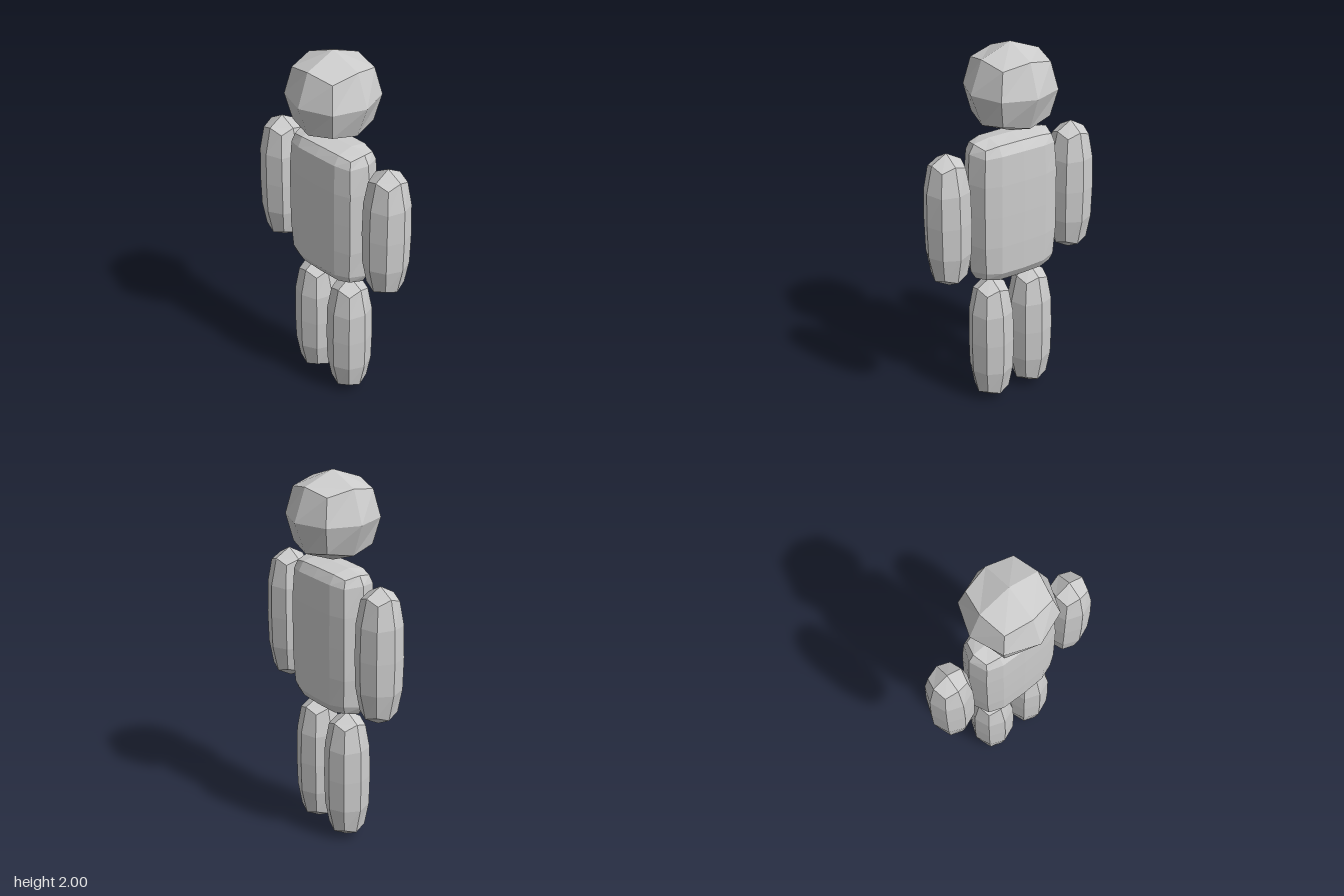
import * as THREE from 'three';

// Rounded block, symmetric in x, y and z. `cap` is the top ridge (z = 0) from the centre outwards;
// each level is a quarter ring from the front centre to the side end, listed from top to middle.
function block(cap, levels) {
  const pos = [];
  const tri = (a, b, c) => pos.push(...a, ...b, ...c);
  const quad = (a, b, c, d) => { tri(a, b, c); tri(a, c, d); };
  const flip = (p, sx, sy, sz) => [p[0] * sx, p[1] * sy, p[2] * sz];

  const ring = (q, sy) => {
    const n = q.length - 1;
    const front = [];
    for (let i = n - 1; i > 0; i--) front.push(flip(q[i], -1, sy, 1));
    for (let i = 0; i < n; i++) front.push(flip(q[i], 1, sy, 1));
    const back = front.map((p) => flip(p, 1, 1, -1)).reverse();
    return [...front, flip(q[n], 1, sy, 1), ...back, flip(q[n], -1, sy, 1)];
  };

  // sides, from top to bottom
  const half = levels.length;
  const rings = levels.map((q) => ring(q, 1));
  for (let i = half - 2; i >= 0; i--) rings.push(ring(levels[i], -1));
  for (let r = 0; r < rings.length - 1; r++) {
    const a = rings[r], b = rings[r + 1];
    for (let i = 0; i < a.length; i++) {
      const j = (i + 1) % a.length;
      quad(b[i], b[j], a[j], a[i]);
    }
  }

  // top and bottom caps
  for (const sy of [1, -1]) {
    const rim = ring(levels[0], sy);
    const cols = rim.length / 2 - 1;
    const mid = [rim[rim.length - 1]];
    for (let i = cap.length - 1; i > 0; i--) mid.push([-cap[i][0], cap[i][1] * sy, 0]);
    for (const [x, y] of cap) mid.push([x, y * sy, 0]);
    mid.push(rim[cols]);
    for (let i = 0; i < cols - 1; i++) {
      const f0 = rim[i], f1 = rim[i + 1];
      const b0 = flip(f0, 1, 1, -1), b1 = flip(f1, 1, 1, -1);
      if (sy > 0) {
        quad(f0, f1, mid[i + 1], mid[i]);
        quad(mid[i], mid[i + 1], b1, b0);
      } else {
        quad(mid[i], mid[i + 1], f1, f0);
        quad(b0, b1, mid[i + 1], mid[i]);
      }
    }
  }

  const geo = new THREE.BufferGeometry();
  geo.setAttribute('position', new THREE.Float32BufferAttribute(pos, 3));
  geo.computeVertexNormals(); // unshared corners give flat facets
  return geo;
}

export function createModel() {
  const model = new THREE.Group();
  const grey = new THREE.MeshStandardMaterial({ color: 0xcccccc });
  grey.name = 'grey';

  const add = (name, geo, x, y) => {
    const mesh = new THREE.Mesh(geo, grey);
    mesh.name = name;
    mesh.position.set(x, y, 0);
    model.add(mesh);
  };

  const headGeo = block([[0, 0.233]], [
    [[0, 0.169, 0.169], [0.141, 0.141, 0.141], [0.169, 0.169, 0]],
    [[0, 0, 0.233], [0.169, 0, 0.169], [0.233, 0, 0]],
  ]);

  const limbGeo = block([[0, 0.367]], [
    [[0, 0.32, 0.084], [0.068, 0.295, 0.068], [0.084, 0.32, 0]],
    [[0, 0.175, 0.117], [0.084, 0.17, 0.084], [0.117, 0.175, 0]],
    [[0, 0, 0.121], [0.087, 0, 0.087], [0.121, 0, 0]],
  ]);

  const torsoGeo = block([[0, 0.392], [0.13, 0.391]], [
    [[0, 0.376, 0.092], [0.13, 0.374, 0.09], [0.2, 0.36, 0.075], [0.22, 0.376, 0]],
    [[0, 0.328, 0.122], [0.13, 0.326, 0.118], [0.21, 0.318, 0.09], [0.248, 0.328, 0]],
    [[0, 0.17, 0.128], [0.135, 0.17, 0.124], [0.22, 0.17, 0.096], [0.255, 0.17, 0]],
    [[0, 0, 0.129], [0.135, 0, 0.125], [0.22, 0, 0.097], [0.256, 0, 0]],
  ]);

  add('head', headGeo, 0, 1.767);
  add('torso', torsoGeo, 0, 1.134);
  for (const [side, s] of [['left', 1], ['right', -1]]) {
    add(side + 'Arm', limbGeo, s * 0.38, 1.135);
    add(side + 'Leg', limbGeo, s * 0.125, 0.369);
  }
  return model;
}
